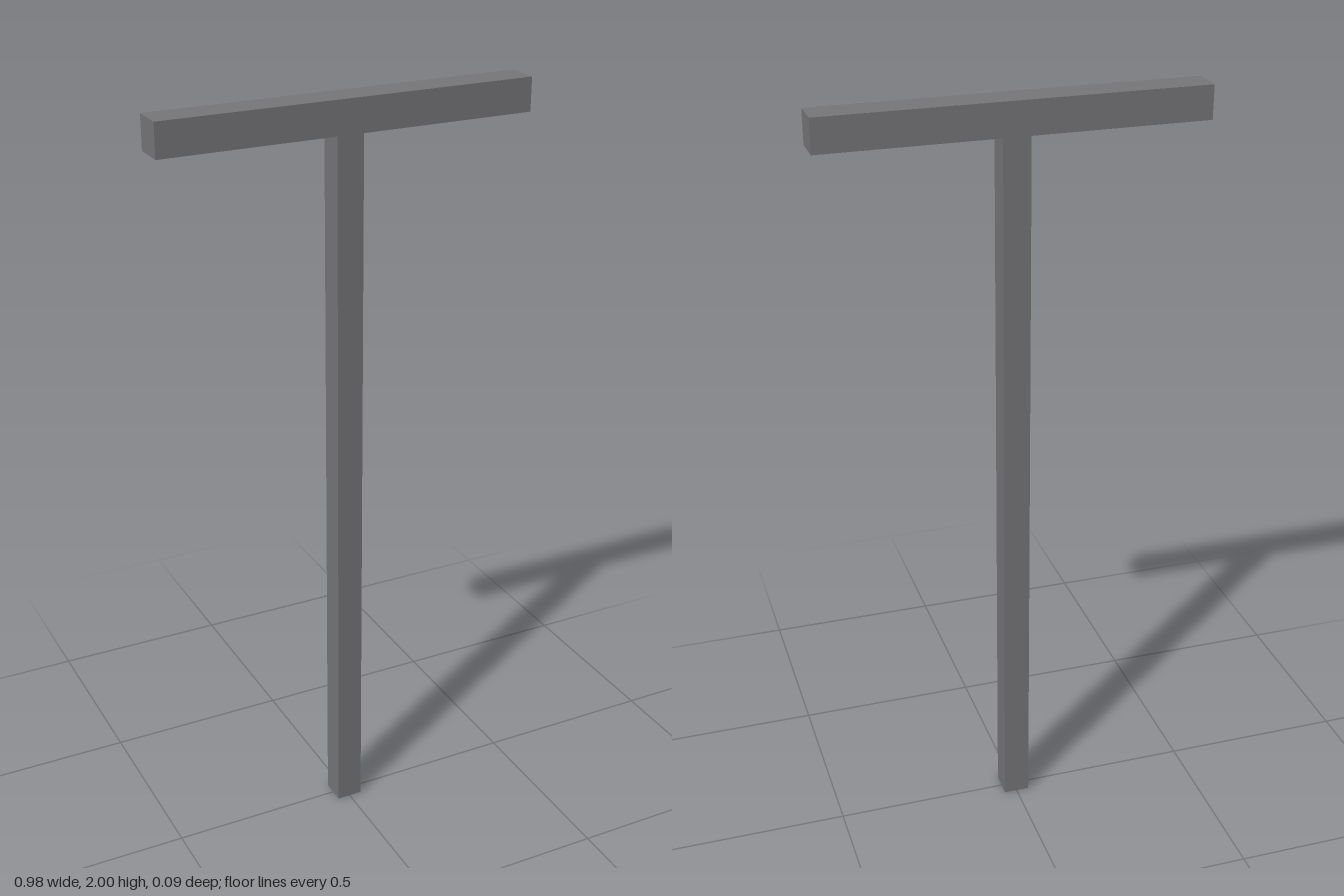
import * as THREE from 'three';

export function createModel() {
  const group = new THREE.Group();
  const greyMetal = new THREE.MeshStandardMaterial({ color: 0x77777a });
  greyMetal.name = 'grey metal';

  const barHeight = 0.086;
  const postHeight = 2 - barHeight;

  // Adds a box standing on the given base height
  function addBeam(name, width, height, depth, baseY) {
    const beam = new THREE.Mesh(new THREE.BoxGeometry(width, height, depth), greyMetal);
    beam.name = name;
    beam.position.y = baseY + height / 2;
    group.add(beam);
  }

  // Square upright post
  addBeam('post', 0.07, postHeight, 0.07, 0);
  // Thicker beam across the top
  addBeam('crossbar', 0.98, barHeight, barHeight, postHeight);

  return group;
}
